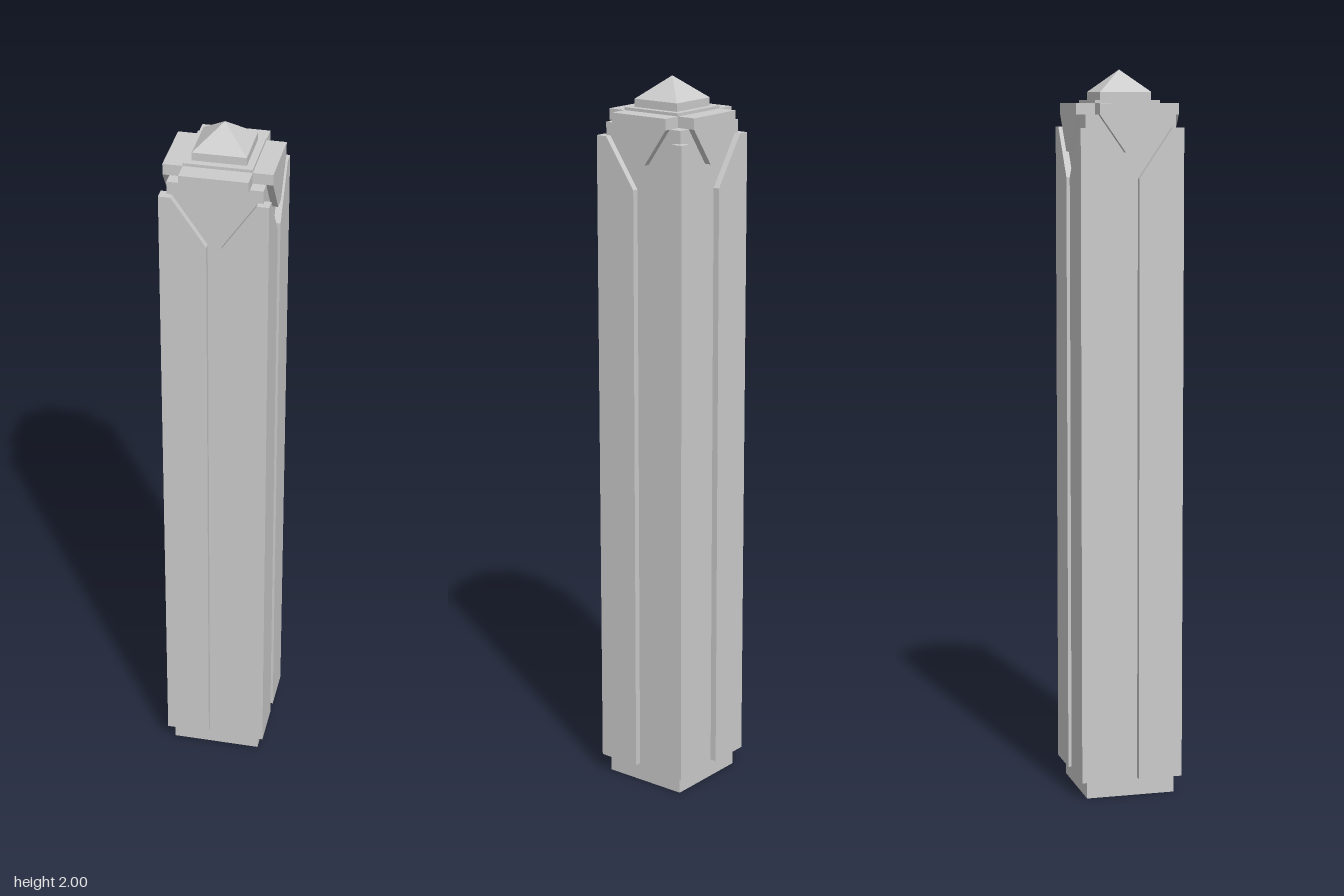
import * as THREE from 'three';

const OUT = 0.143, IN = 0.125;   // half widths of the raised panels and the core
const GROOVE = 0.019, TOP = 1.88;

const material = new THREE.MeshStandardMaterial({
  color: 0xcccccc, flatShading: true, side: THREE.DoubleSide,
});

function add(parent, name, geometry, y = 0, z = 0) {
  const mesh = new THREE.Mesh(geometry, material);
  mesh.name = name;
  mesh.position.set(0, y, z);
  parent.add(mesh);
  return mesh;
}

const shapeOf = (points) => new THREE.Shape(points.map(([x, y]) => new THREE.Vector2(x, y)));

// Mirrors a half outline to the other side, keeping it counter-clockwise
const mirror = (points) => points.map(([x, y]) => [-x, y]).reverse();

// Side walls of a panel, mitred at the outer corner of the pillar
function rimGeometry(points) {
  const positions = [];
  const back = ([x, y]) => [Math.sign(x) * Math.min(Math.abs(x), IN), y, IN];
  points.slice(0, -1).forEach((a, i) => {
    const b = points[i + 1];
    const af = [...a, OUT], bf = [...b, OUT], ab = back(a), bb = back(b);
    positions.push(...af, ...ab, ...bb, ...af, ...bb, ...bf);
  });
  const geometry = new THREE.BufferGeometry();
  geometry.setAttribute('position', new THREE.Float32BufferAttribute(positions, 3));
  geometry.computeVertexNormals();
  return geometry;
}

function createFace() {
  const face = new THREE.Group();

  // Raised corner panel, cut diagonally at the top beside the groove
  const right = [[OUT, 1.845], [0.111, 1.845], [GROOVE, 1.71], [GROOVE, 0.05], [OUT, 0.05]];
  for (const [side, points] of [['left', right], ['right', mirror(right)]]) {
    add(face, side + 'Panel', new THREE.ShapeGeometry(shapeOf(points)), 0, OUT);
    add(face, side + 'PanelRim', rimGeometry(points));
  }

  // Recessed wall seen in the groove, at the foot and above the panels
  const half = [
    [IN, 0], [IN, 0.05], [GROOVE, 0.05], [GROOVE, 1.71], [0.111, 1.845], [IN, 1.845], [IN, TOP],
  ];
  add(face, 'recessedWall', new THREE.ShapeGeometry(shapeOf([...half, ...mirror(half)])), 0, IN);

  // Tapered keystone under the cap
  const key = shapeOf([
    [-GROOVE, 1.78], [GROOVE, 1.78], [0.09, TOP], [0.09, 1.91], [-0.09, 1.91], [-0.09, TOP],
  ]);
  add(face, 'keystone',
    new THREE.ExtrudeGeometry(key, { depth: OUT - 0.09, bevelEnabled: false }), 0, 0.09);
  return face;
}

export function createModel() {
  const model = new THREE.Group();
  model.name = 'pillar';

  // Four identical sides around a shaft that is open underneath
  ['front', 'left', 'back', 'right'].forEach((name, i) => {
    const face = createFace();
    face.name = name + 'Side';
    face.rotation.y = i * Math.PI / 2;
    model.add(face);
  });

  // Flat roof of the shaft
  add(model, 'roof', new THREE.PlaneGeometry(2 * IN, 2 * IN).rotateX(-Math.PI / 2), TOP);

  // Stepped cap and pyramid finial
  add(model, 'capSlab', new THREE.BoxGeometry(0.18, 0.038, 0.18), 1.899);
  add(model, 'capStep', new THREE.BoxGeometry(0.142, 0.022, 0.142), 1.929);
  const pyramid = new THREE.ConeGeometry(0.071 * Math.SQRT2, 0.06, 4, 1, true);
  add(model, 'finial', pyramid.rotateY(Math.PI / 4), 1.97);

  return model;
}
